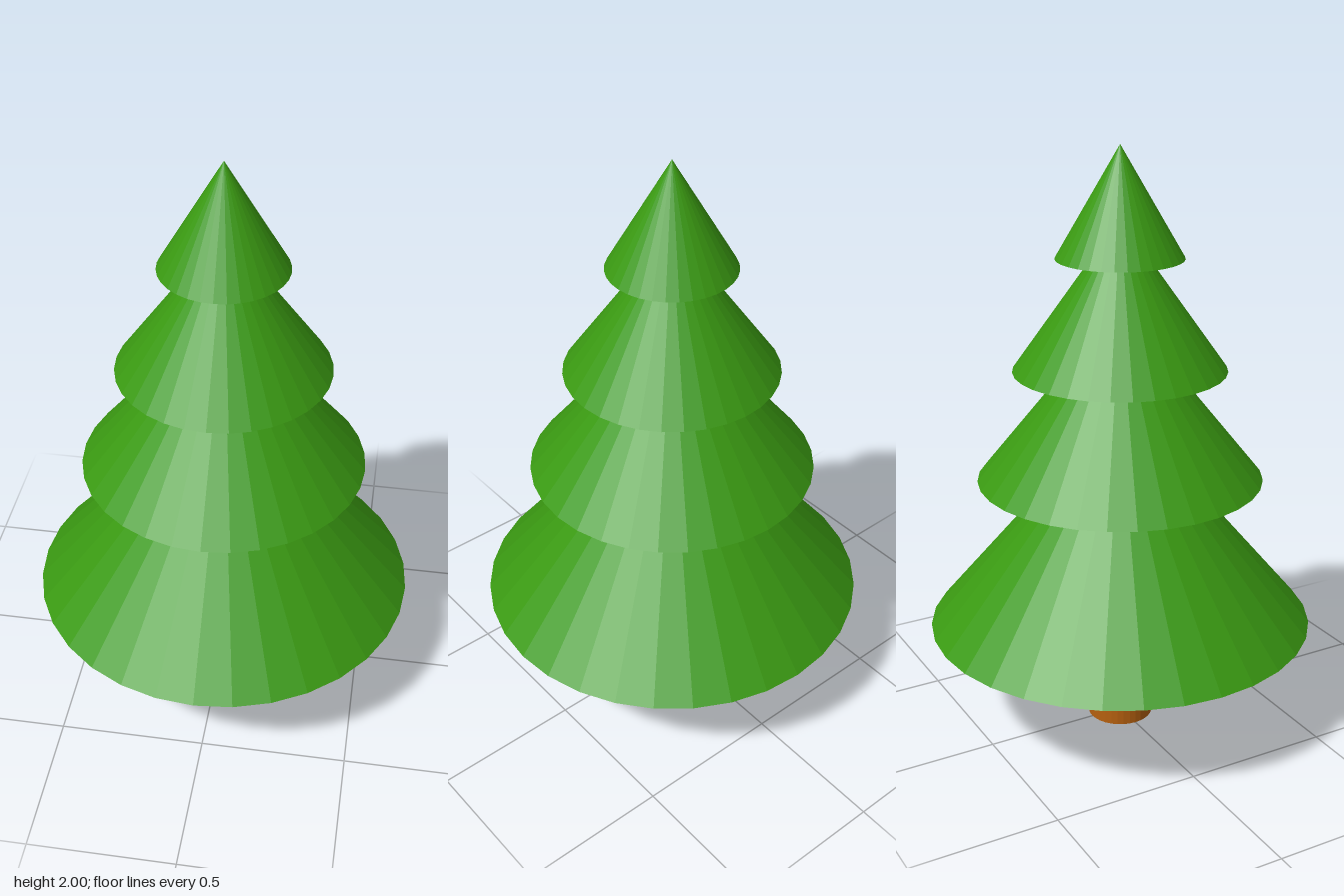
import * as THREE from 'three';

const SIDES = 32;

export function createModel() {
  const tree = new THREE.Group();
  tree.name = 'pineTree';

  const leaf = new THREE.MeshStandardMaterial({ color: 0x3a9a12, flatShading: true });
  const bark = new THREE.MeshStandardMaterial({ color: 0xb5600f, flatShading: true });

  // Trunk, ending just inside the lowest tier
  const trunkHeight = 0.4;
  const trunk = new THREE.Mesh(new THREE.CylinderGeometry(0.112, 0.112, trunkHeight, SIDES), bark);
  trunk.position.y = trunkHeight / 2;
  trunk.name = 'trunk';
  tree.add(trunk);

  // Foliage tiers from bottom to top: base radius, base height, tip height
  const tiers = [
    [0.655, 0.375, 1.15],
    [0.48, 0.895, 1.49],
    [0.355, 1.27, 1.77],
    [0.21, 1.64, 2.0],
  ];
  tiers.forEach(([radius, base, tip], i) => {
    const tier = new THREE.Mesh(new THREE.ConeGeometry(radius, tip - base, SIDES), leaf);
    tier.position.y = (base + tip) / 2;
    tier.name = `foliageTier${i + 1}`;
    tree.add(tier);
  });

  return tree;
}
